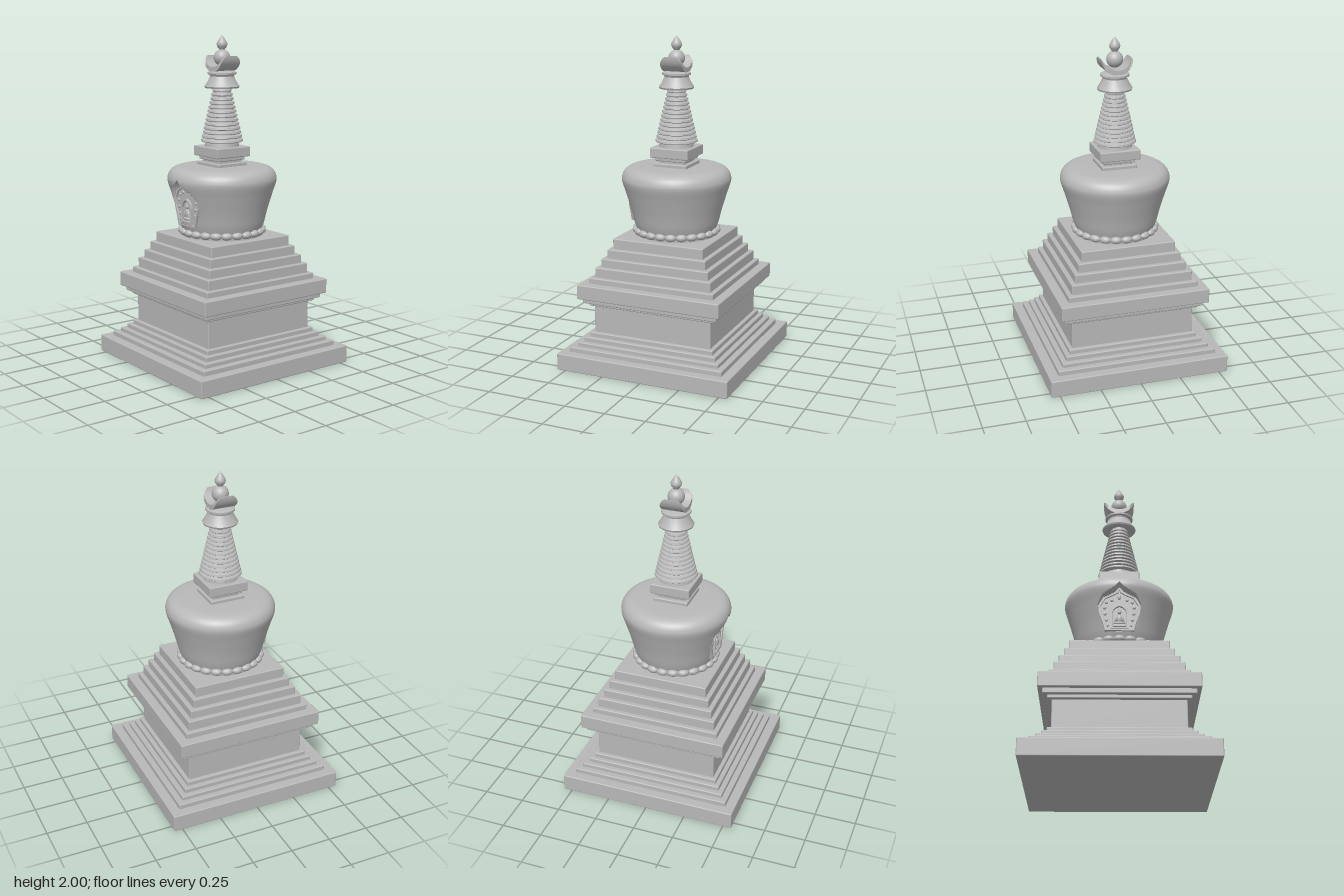
import * as THREE from 'three';
import { toCreasedNormals } from 'three/addons/utils/BufferGeometryUtils.js';
import { RoundedBoxGeometry } from 'three/addons/geometries/RoundedBoxGeometry.js';

const stone = new THREE.MeshStandardMaterial({ color: 0xb8b8b8 });
stone.name = 'grey stone';

function add(parent, name, geometry, x = 0, y = 0, z = 0) {
  const mesh = new THREE.Mesh(geometry, stone);
  mesh.name = name;
  mesh.position.set(x, y, z);
  parent.add(mesh);
  return mesh;
}

// Square slab given by its half width and its lower and upper heights
function slab(parent, name, half, y0, y1) {
  add(parent, name, new RoundedBoxGeometry(half * 2, y1 - y0, half * 2, 2, 0.006), 0, (y0 + y1) / 2);
}

function lathe(points, segments = 64, start = 0, length = Math.PI * 2) {
  return new THREE.LatheGeometry(points.map(p => new THREE.Vector2(...p)), segments, start, length);
}

// Pointed niche outline as [height, half width], bottom to top
const NICHE = [[0.865, 0.085], [0.915, 0.098], [0.98, 0.122], [1.03, 0.125], [1.08, 0.098],
  [1.105, 0.05], [1.125, 0.02], [1.15, 0]];
const SMALL_ARCH = [[0.878, 0.052], [0.98, 0.052], [1.005, 0.045], [1.022, 0.028], [1.032, 0]];

function halfWidth(y) {
  for (let i = 1; i < NICHE.length; i++) {
    const [ya, wa] = NICHE[i - 1], [yb, wb] = NICHE[i];
    if (y >= ya && y <= yb) return wa + (wb - wa) * (y - ya) / (yb - ya);
  }
  return -1;
}

// Symmetric outline, shrunk by an inset
function outline(rows, inset = 0, PathType = THREE.Shape) {
  const top = rows[rows.length - 1][0], bottom = rows[0][0];
  const squeeze = y => bottom + inset + (y - bottom) * (top - bottom - 2 * inset) / (top - bottom);
  const right = rows.map(([y, w]) => new THREE.Vector2(Math.max(w - inset, 0), squeeze(y)));
  const left = right.slice(0, -1).reverse().map(p => new THREE.Vector2(-p.x, p.y));
  return new PathType([...right, ...left]);
}

function plate(shape, depth, bevel = 0.002) {
  return new THREE.ExtrudeGeometry(shape, {
    depth, bevelEnabled: bevel > 0, bevelSize: bevel, bevelThickness: bevel, bevelSegments: 1,
  });
}

function buildBowl(parent) {
  const curve = new THREE.SplineCurve([[0.243, 0.82], [0.26, 0.87], [0.28, 0.95], [0.31, 1.05], [0.332, 1.12],
    [0.331, 1.155], [0.315, 1.185], [0.285, 1.205], [0.24, 1.213], [0.15, 1.216], [0, 1.216]]
    .map(p => new THREE.Vector2(...p)));
  const profile = curve.getPoints(110).map(p => [Math.max(p.x, 0), p.y]);
  const reach = 0.5;
  add(parent, 'bowl', lathe(profile, 80, reach, Math.PI * 2 - 2 * reach));

  // Front of the bowl, pressed flat inside the niche outline
  const front = lathe(profile, 120, -reach, 2 * reach);
  const pos = front.attributes.position;
  for (let i = 0; i < pos.count; i++) {
    if (Math.abs(pos.getX(i)) < halfWidth(pos.getY(i))) pos.setZ(i, Math.min(pos.getZ(i), 0.25));
  }
  front.computeVertexNormals();
  add(parent, 'bowlFront', front);
}

function buildNiche(parent) {
  const niche = new THREE.Group();
  niche.name = 'niche';
  parent.add(niche);
  add(niche, 'nichePanel', plate(outline(NICHE), 0.015, 0), 0, 0, 0.243);

  const rim = outline(NICHE);
  rim.holes.push(outline(NICHE, 0.013, THREE.Path));
  add(niche, 'nicheRim', plate(rim, 0.012), 0, 0, 0.253);

  const arch = outline(SMALL_ARCH);
  arch.holes.push(outline(SMALL_ARCH, 0.009, THREE.Path));
  add(niche, 'innerArch', plate(arch, 0.013), 0, 0, 0.256);

  // Carved knobs around the arch
  const knob = new THREE.SphereGeometry(0.011, 12, 8);
  for (const side of [-1, 1]) {
    for (const [x, y] of [[0.073, 0.9], [0.077, 0.935], [0.085, 0.975], [0.088, 1.015], [0.077, 1.05], [0.045, 1.065]]) {
      add(niche, 'carvedKnob', knob, side * x, y, 0.257).scale.z = 0.7;
    }
  }
  add(niche, 'crownKnob', knob, 0, 1.085, 0.257).scale.set(1, 1.6, 0.7);

  // Small seated figure
  const ball = new THREE.SphereGeometry(1, 20, 14);
  const lump = (name, x, y, sx, sy, sz) => {
    const mesh = add(niche, name, ball, x, y, 0.26);
    mesh.scale.set(sx, sy, sz);
    return mesh;
  };
  add(niche, 'figureSeat', new RoundedBoxGeometry(0.078, 0.018, 0.03, 2, 0.005), 0, 0.893, 0.262);
  lump('figureLegs', 0, 0.911, 0.036, 0.012, 0.015);
  lump('figureTorso', 0, 0.942, 0.018, 0.03, 0.012);
  lump('figureHead', 0, 0.984, 0.011, 0.014, 0.011);
  lump('figureTopknot', 0, 1.0, 0.005, 0.006, 0.005);
  for (const side of [-1, 1]) {
    lump('figureArm', side * 0.02, 0.938, 0.007, 0.025, 0.01).rotation.z = side * 0.25;
  }
}

function buildCrescent(parent) {
  // Crescent cut by two arcs, narrowing front to back towards its tips
  const shape = new THREE.Shape();
  shape.absarc(0, 1.877, 0.096, Math.PI, Math.PI * 2, false);
  shape.absarc(0, 1.902, 0.092, -0.28, -Math.PI + 0.28, true);
  const geometry = new THREE.ExtrudeGeometry(shape, { depth: 2, steps: 12, bevelEnabled: false, curveSegments: 32 });
  const pos = geometry.attributes.position;
  for (let i = 0; i < pos.count; i++) {
    const t = Math.max(0, (pos.getY(i) - 1.815) / 0.073);
    pos.setZ(i, (pos.getZ(i) - 1) * Math.max(0.006, 0.072 * Math.sqrt(Math.max(0, 1 - t * t))));
  }
  add(parent, 'crescent', toCreasedNormals(geometry, 0.7));
}

export function createModel() {
  const model = new THREE.Group();
  model.name = 'stupa';

  // Stepped square base, waist, cornice and terraces
  const tiers = [
    ['plinth', 0.553, 0, 0.105], ['lowerStep', 0.495, 0.1, 0.135], ['lowerStep', 0.46, 0.13, 0.16],
    ['lowerStep', 0.43, 0.155, 0.188], ['lowerStep', 0.403, 0.18, 0.215], ['waist', 0.38, 0.2, 0.4],
    ['corniceStep', 0.405, 0.385, 0.412], ['corniceStep', 0.432, 0.405, 0.44], ['cornice', 0.459, 0.435, 0.525],
    ['terrace', 0.402, 0.515, 0.56], ['terrace', 0.375, 0.55, 0.62], ['terrace', 0.348, 0.61, 0.672],
    ['terrace', 0.32, 0.66, 0.727], ['terrace', 0.293, 0.71, 0.79],
  ];
  for (const tier of tiers) slab(model, ...tier);

  // Ring of beads under the bowl
  add(model, 'beadSeat', new THREE.CylinderGeometry(0.247, 0.247, 0.05, 64), 0, 0.81);
  const bead = new THREE.SphereGeometry(1, 16, 12);
  for (let i = 0; i < 24; i++) {
    const a = i / 24 * Math.PI * 2;
    const mesh = add(model, 'bead', bead, Math.sin(a) * 0.246, 0.818, Math.cos(a) * 0.246);
    mesh.scale.set(0.035, 0.023, 0.026);
    mesh.rotation.y = a;
  }

  buildBowl(model);
  buildNiche(model);

  // Square neck
  slab(model, 'neckStep', 0.108, 1.205, 1.237);
  slab(model, 'neckStep', 0.085, 1.225, 1.258);
  slab(model, 'neckStep', 0.1, 1.25, 1.28);
  slab(model, 'neckBlock', 0.124, 1.272, 1.333);

  // Tapering spire of thirteen rings
  add(model, 'spireCore', new THREE.CylinderGeometry(0.048, 0.105, 0.37, 48), 0, 1.51);
  const rings = 13;
  for (let i = 0; i < rings; i++) {
    const r = 0.129 - 0.0058 * i, y = 1.37 + i * 0.0252;
    const ring = lathe([[0, -0.01], [r - 0.006, -0.01], [r, -0.006], [r - 0.003, 0.005], [r - 0.009, 0.009], [0, 0.009]], 48);
    add(model, 'spireRing', toCreasedNormals(ring, 0.6), 0, y);
  }

  // Parasol and its cap
  add(model, 'parasol', toCreasedNormals(lathe([[0, 1.69], [0.09, 1.69], [0.102, 1.684], [0.106, 1.694],
    [0.088, 1.72], [0.072, 1.755], [0, 1.755]], 48), 0.7));
  add(model, 'parasolCap', toCreasedNormals(lathe([[0, 1.748], [0.07, 1.748], [0.076, 1.763], [0.087, 1.767],
    [0.087, 1.778], [0.07, 1.786], [0, 1.79]], 48), 0.7));

  // Crescent, orb and flame finial
  buildCrescent(model);
  add(model, 'orb', new THREE.SphereGeometry(0.05, 32, 20), 0, 1.865);
  add(model, 'flame', lathe([[0, 1.9], [0.014, 1.908], [0.02, 1.918], [0.03, 1.932], [0.033, 1.945], [0.028, 1.96],
    [0.016, 1.978], [0.006, 1.991], [0, 2]], 32));

  return model;
}
